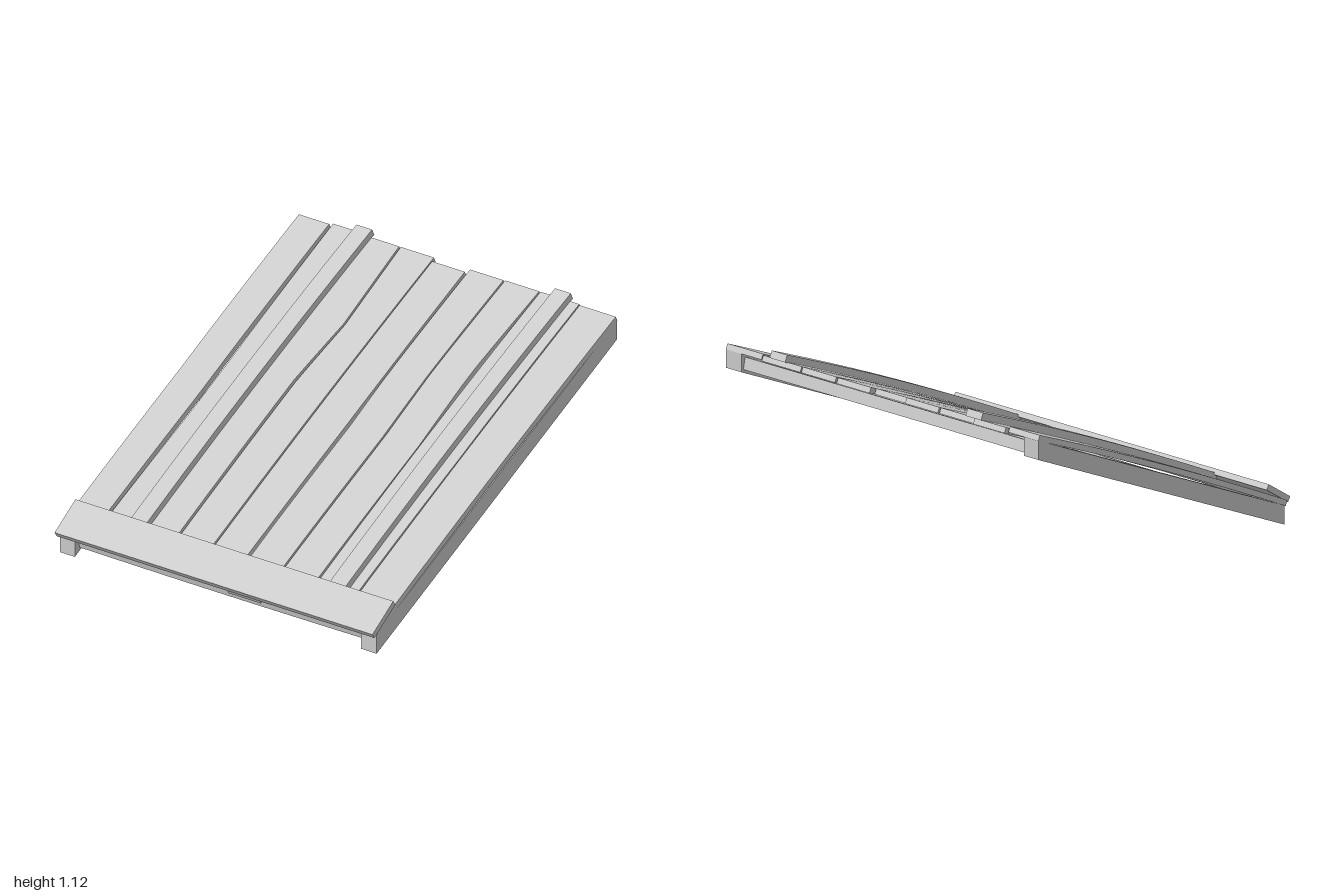
import * as THREE from 'three';

const SLOPE = 0.495;
const base = z => 0.475 - SLOPE * z; // underside line of the side rails

// piecewise-linear edge: a number, or a list of [z, x] points from back to front
function edgeAt(edge, z) {
  if (typeof edge === 'number') return edge;
  if (z <= edge[0][0]) return edge[0][1];
  for (let i = 1; i < edge.length; i++) {
    const [z0, x0] = edge[i - 1], [z1, x1] = edge[i];
    if (z <= z1) return x0 + (x1 - x0) * (z - z0) / (z1 - z0);
  }
  return edge[edge.length - 1][1];
}

export function createModel() {
  const group = new THREE.Group();
  group.name = 'slopedPlankRoof';
  const material = new THREE.MeshStandardMaterial({ color: 0xcccccc, flatShading: true });

  function add(name, geometry) {
    const mesh = new THREE.Mesh(geometry, material);
    mesh.name = name;
    group.add(mesh);
    return mesh;
  }

  // board lying along the slope; heights are measured up from the rail underside
  function slopedBoard(name, { left, right, low, high, back, front, bow = 0, square = true, segments = 16 }) {
    const g = new THREE.BoxGeometry(1, 1, 1, 1, 1, segments);
    const p = g.attributes.position;
    for (let i = 0; i < p.count; i++) {
      const s = back + (front - back) * (p.getZ(i) + 0.5);
      const h = p.getY(i) > 0 ? high : low;
      const z = s + (square ? (h - high) * 0.4 : 0); // square-cut or plumb-cut ends
      const x = edgeAt(p.getX(i) < 0 ? left : right, s);
      p.setXYZ(i, x, base(z) + h + bow * (1 - s * s), z);
    }
    g.computeVertexNormals();
    return add(name, g);
  }

  // side rails with plumb-cut ends
  for (const [name, left, right] of [['rightRail', -0.965, -0.875], ['leftRail', 0.855, 0.948]]) {
    slopedBoard(name, { left, right, low: 0, high: 0.1, back: -0.98, front: 0.945, square: false, segments: 1 });
  }

  // cross beams, slightly warped along their length
  function crossBeam(name, back, front, warp, sag) {
    const g = new THREE.BoxGeometry(1, 1, 1, 10, 1, 1);
    const p = g.attributes.position;
    for (let i = 0; i < p.count; i++) {
      const u = p.getX(i);
      const x = -0.01 + u * 1.75;
      const h = p.getY(i) > 0 ? 0.085 : 0.017;
      const wave = Math.cos(u * Math.PI);
      const z = (p.getZ(i) < 0 ? back : front) + (h - 0.085) * 0.2 - warp * wave;
      p.setXYZ(i, x, base(z) + h + sag * wave, z);
    }
    g.computeVertexNormals();
    add(name, g);
  }
  crossBeam('backBeam', -0.95, -0.85, 0, 0);
  crossBeam('middleBeam', -0.1, 0.01, 0.018, 0.006);
  crossBeam('frontBeam', 0.81, 0.92, 0, -0.004);

  // planks: [left edge, right edge, back end, front end, top height, bow]
  const planks = [
    [[[-1, -0.968], [0, -0.96], [1, -0.97]], [[-1, -0.785], [0.1, -0.775], [1, -0.79]], -0.972, 0.96, 0.13, 0.018],
    [[[-1, -0.775], [-0.1, -0.755], [0.2, -0.755], [0.8, -0.775]], -0.583, -0.99, 0.94, 0.12, 0.02],
    [-0.578, [[-0.98, -0.368], [-0.5, -0.34], [-0.15, -0.37], [0.9, -0.367]], -0.98, 0.945, 0.122, 0.02],
    [[[-0.98, -0.358], [-0.5, -0.332], [-0.15, -0.358], [0.9, -0.355]], [[-1, -0.158], [0.9, -0.16]], -0.98, 0.955, 0.122, 0.016],
    [[[-1, -0.152], [0.9, -0.15]], [[-1, 0.045], [0, 0.05], [0.9, 0.045]], -0.958, 0.94, 0.122, 0.016],
    [[[-0.98, 0.06], [-0.3, 0.062], [0, 0.073], [0.6, 0.065]], [[-0.98, 0.262], [-0.4, 0.26], [0, 0.272], [0.8, 0.262]], -0.98, 0.975, 0.12, 0.022],
    [[[-0.98, 0.272], [-0.4, 0.266], [0, 0.28], [0.8, 0.272]], [[-0.98, 0.478], [-0.45, 0.46], [0, 0.48], [0.9, 0.472]], -0.98, 0.945, 0.122, 0.018],
    [0.485, [[-1, 0.72], [0, 0.725], [1, 0.718]], -0.98, 0.945, 0.122, 0.02],
    [0.73, 0.948, -0.97, 0.95, 0.128, 0.014],
  ];
  planks.forEach(([left, right, back, front, high, bow], i) => {
    slopedBoard('plank' + (i + 1), { left, right, low: high - 0.033, high, back, front, bow });
  });

  // raised battens over the plank joints
  for (const [name, left, right] of [['rightBatten', -0.63, -0.535], ['leftBatten', 0.57, 0.665]]) {
    slopedBoard(name, { left, right, low: 0.118, high: 0.16, back: -0.985, front: 0.85, bow: 0.022 });
  }

  // wide board along the low front edge
  const eave = add('eaveBoard', new THREE.BoxGeometry(1.92, 0.03, 0.203));
  eave.position.set(0.005, 0.18, 0.909);
  eave.rotation.x = 0.605;

  return group;
}
